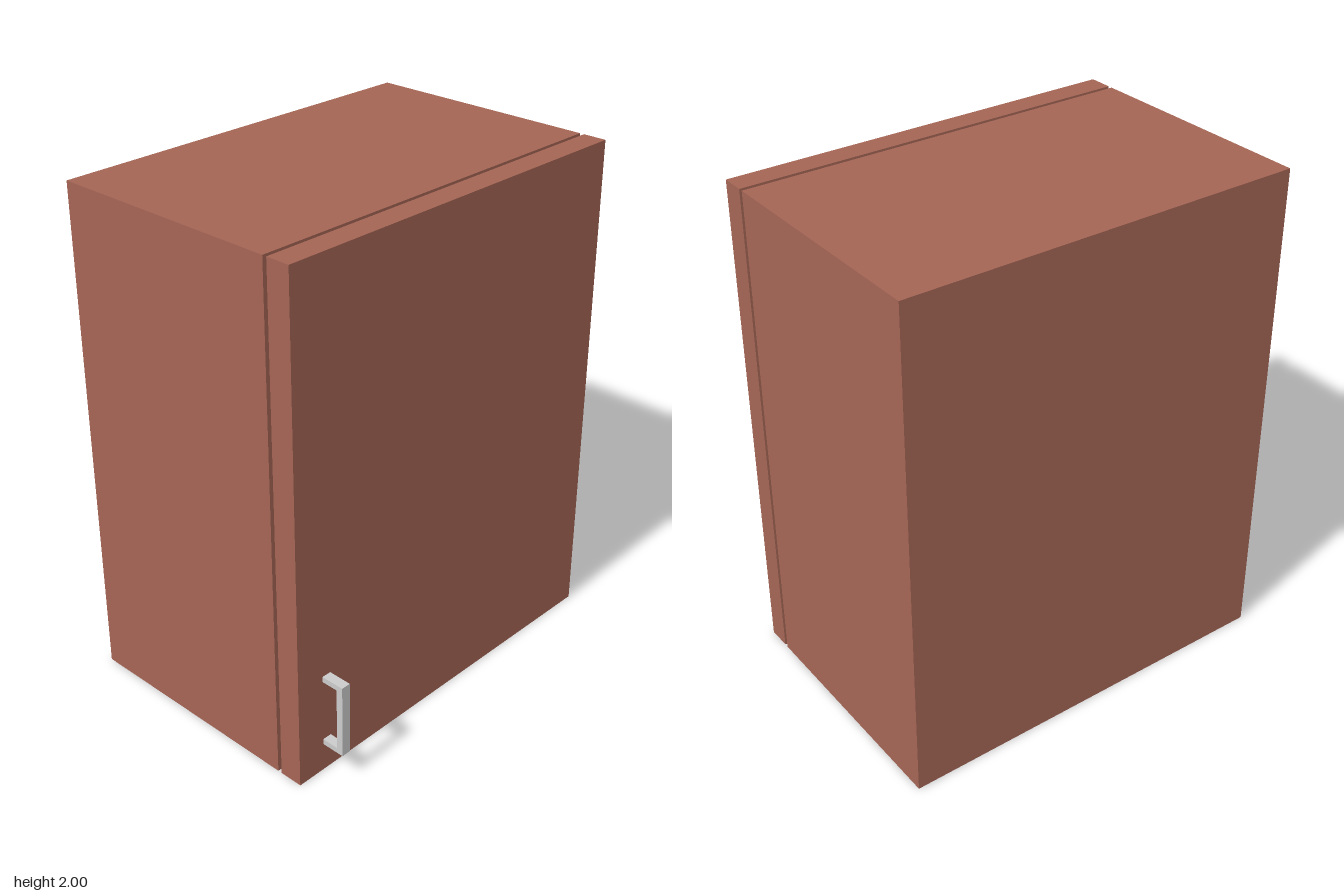
import * as THREE from 'three';

const wood = new THREE.MeshStandardMaterial({ color: 0xa56555 });
const metal = new THREE.MeshStandardMaterial({ color: 0xcccccc });

// Full-height panel or block spanning the cabinet width between two depths
function block(name, zBack, zFront) {
  const mesh = new THREE.Mesh(new THREE.BoxGeometry(1.6, 2, zFront - zBack), wood);
  mesh.name = name;
  mesh.position.set(0, 1, (zBack + zFront) / 2);
  return mesh;
}

// Bracket-shaped pull: side profile (z, y) extruded across x
function makeHandle() {
  const back = 0.485, front = 0.58, bottom = 0.116, top = 0.416;
  const bar = 0.027, leg = 0.022;
  const profile = new THREE.Shape([
    [back, bottom], [front, bottom], [front, top], [back, top],
    [back, top - leg], [front - bar, top - leg],
    [front - bar, bottom + leg], [back, bottom + leg],
  ].map(([z, y]) => new THREE.Vector2(z, y)));
  const geometry = new THREE.ExtrudeGeometry(profile, { depth: 0.038, bevelEnabled: false });
  geometry.rotateY(-Math.PI / 2);
  const mesh = new THREE.Mesh(geometry, metal);
  mesh.name = 'handle';
  mesh.position.x = -0.643;
  return mesh;
}

export function createModel() {
  const cabinet = new THREE.Group();
  cabinet.name = 'wallCabinet';
  // The door stands a narrow gap in front of the carcass
  cabinet.add(
    block('carcass', -0.58, 0.373),
    block('door', 0.39, 0.485),
    makeHandle(),
  );
  return cabinet;
}
